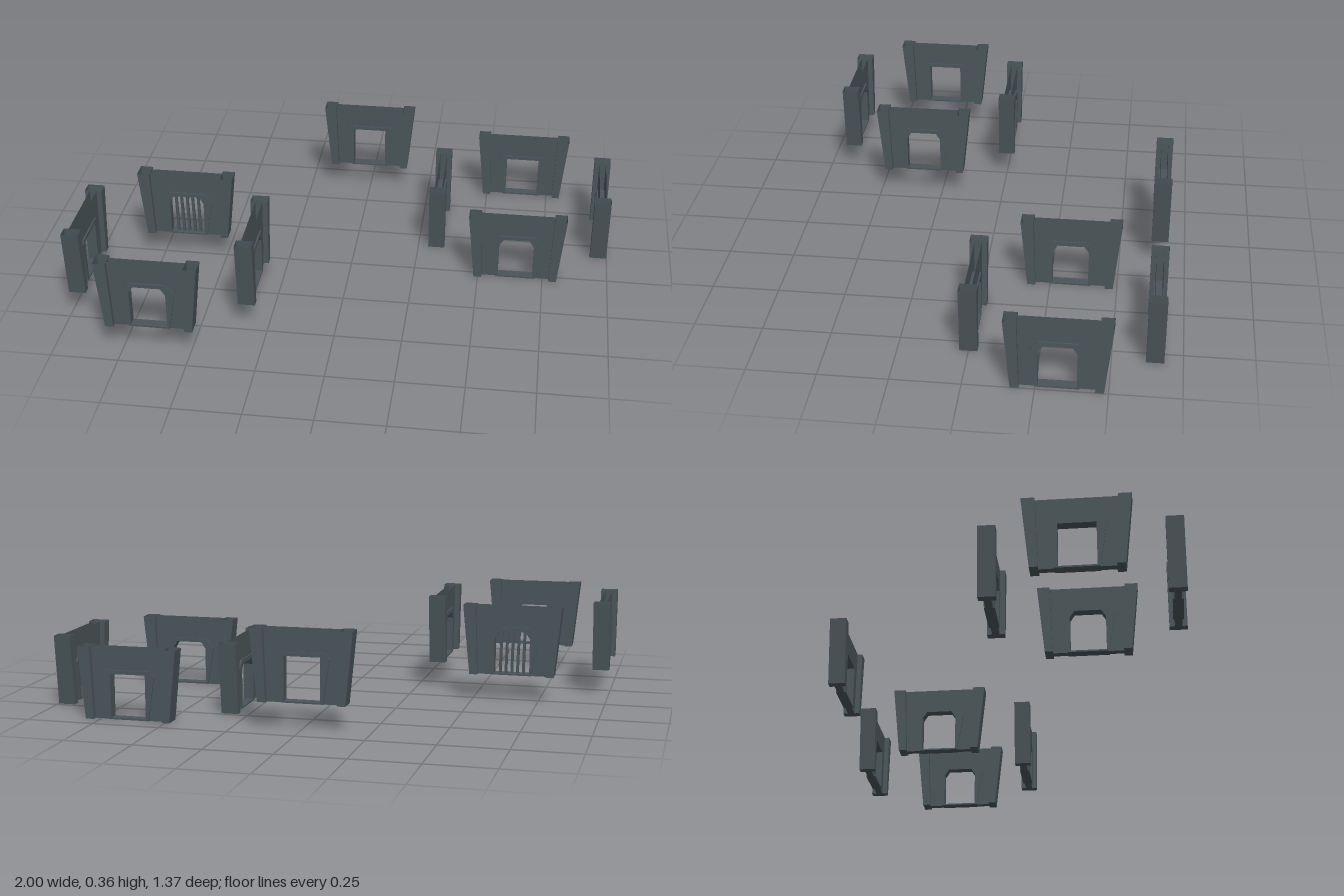
import * as THREE from 'three';

const H = 0.265; // gate height
const stone = new THREE.MeshStandardMaterial({ color: 0x4a5559, side: THREE.DoubleSide });
stone.name = 'dark slate';

// Symmetric outline from its right-hand points, listed bottom to top
const mirrored = (pts) => [...pts, ...pts.slice().reverse().map(([x, y]) => [-x, y])];
const toPoints = (pts) => pts.map(([x, y]) => new THREE.Vector2(x, y));

// Extrudes an outline centred on z = 0 and leaves its top edge open
function slab(outline, depth, hole) {
  const shape = new THREE.Shape(toPoints(outline));
  if (hole) shape.holes.push(new THREE.Path(toPoints(hole)));
  const solid = new THREE.ExtrudeGeometry(shape, { depth, bevelEnabled: false });
  solid.translate(0, 0, -depth / 2);
  const p = solid.attributes.position;
  const kept = [];
  for (let i = 0; i < p.count; i += 3) {
    const onTop = [0, 1, 2].every((k) => p.getY(i + k) > H - 1e-4);
    if (onTop) continue;
    for (let k = 0; k < 3; k++) kept.push(p.getX(i + k), p.getY(i + k), p.getZ(i + k));
  }
  const geo = new THREE.BufferGeometry();
  geo.setAttribute('position', new THREE.Float32BufferAttribute(kept, 3));
  geo.computeVertexNormals();
  return geo;
}

// Doorway and raised surround profiles
const SILL = 0.006;
const styles = {
  arched: {
    opening: mirrored([[0.067, SILL], [0.067, 0.142], [0.05, 0.168]]),
    surround: mirrored([[0.076, 0], [0.1, 0.148], [0.068, 0.184]]),
    sill: [0.15, 0.038],
  },
  square: {
    opening: mirrored([[0.066, SILL], [0.066, 0.167]]),
    surround: mirrored([[0.076, 0], [0.1, 0.162], [0.086, 0.181]]),
    sill: [0.23, 0.022],
  },
};

const pillarOutline = [[0.13, 0], [0.16, 0], [0.187, H], [0.14, H]];
const wallOutline = mirrored([[0.13, 0], [0.14, H]]);

function add(group, name, geometry) {
  const mesh = new THREE.Mesh(geometry, stone);
  mesh.name = name;
  group.add(mesh);
  return mesh;
}

function makeGate({ style, barred }) {
  const gate = new THREE.Group();
  const { opening, surround, sill } = styles[style];
  // Leaning end pillars
  add(gate, 'leftPillar', slab(pillarOutline, 0.064));
  add(gate, 'rightPillar', slab(pillarOutline.map(([x, y]) => [-x, y]), 0.064));
  // Thin wall and doorway surround
  add(gate, 'wall', slab(wallOutline, 0.026, opening));
  add(gate, 'doorSurround', slab(surround, 0.038, opening));
  add(gate, 'sill', new THREE.BoxGeometry(sill[0], SILL, sill[1])).position.y = SILL / 2;
  // Slightly tilted bars across the doorway
  if (barred) {
    for (let i = 0; i < 5; i++) {
      const bar = add(gate, 'bar', new THREE.BoxGeometry(0.01, 0.164, 0.01));
      bar.position.set(-0.044 + i * 0.022, 0.086, 0);
      bar.rotation.z = 0.02 + 0.01 * (i % 2);
    }
  }
  return gate;
}

export function createModel() {
  const model = new THREE.Group();
  const UP = 0.0975;
  const gates = [
    { name: 'loneGate', at: [-0.005, UP, -0.652], style: 'square' },
    // Lower ring of four
    { name: 'lowerBackGate', at: [0.644, 0, -0.652], style: 'square' },
    { name: 'lowerFrontGate', at: [0.644, 0, 0], style: 'arched' },
    { name: 'lowerRightGate', at: [0.322, 0, -0.325], style: 'arched', turned: true },
    { name: 'lowerLeftGate', at: [0.967, 0, -0.325], style: 'arched', turned: true },
    // Raised ring of four
    { name: 'upperBackGate', at: [-0.648, UP, 0], style: 'arched', barred: true },
    { name: 'upperFrontGate', at: [-0.648, UP, 0.65], style: 'arched' },
    { name: 'upperRightGate', at: [-0.968, UP, 0.322], style: 'square', turned: true },
    { name: 'upperLeftGate', at: [-0.328, UP, 0.322], style: 'arched', turned: true },
  ];
  for (const spec of gates) {
    const gate = makeGate(spec);
    gate.name = spec.name;
    gate.position.set(...spec.at);
    if (spec.turned) gate.rotation.y = Math.PI / 2;
    model.add(gate);
  }
  return model;
}
